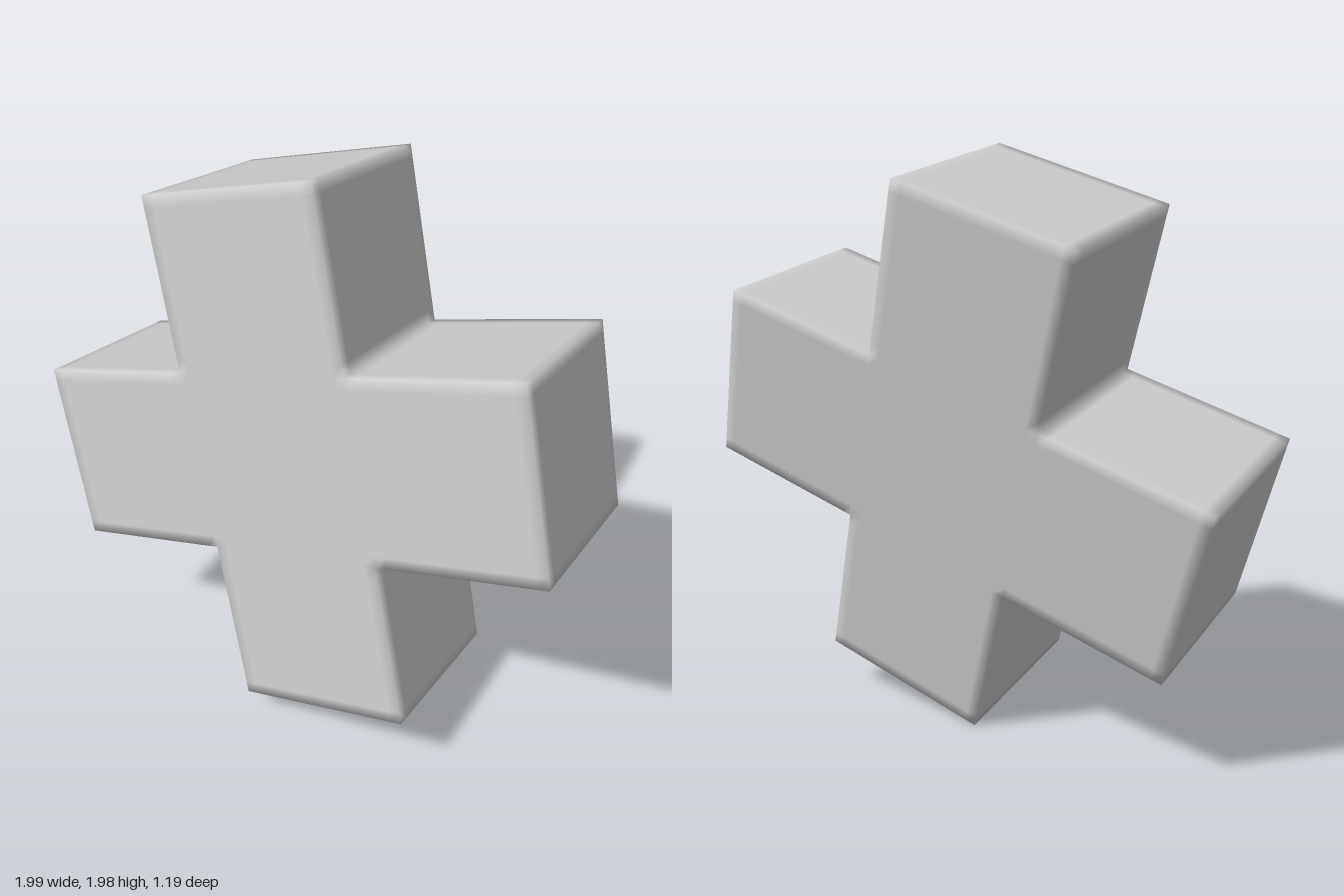
import * as THREE from 'three';
import { mergeVertices } from 'three/addons/utils/BufferGeometryUtils.js';

const LENGTH = 0.902; // half span of the arms
const WIDTH = 0.317;  // half width of an arm
const DEPTH = 0.3;    // half thickness
const EDGE = 0.04;    // width of the softly shaded band along the edges

// Grid lines along an axis, with a support line beside every edge
const mirror = (list) => [...list.map((v) => -v), ...list].sort((a, b) => a - b);
const across = mirror([WIDTH - EDGE, WIDTH, WIDTH + EDGE, LENGTH - EDGE, LENGTH]);
const through = mirror([DEPTH - EDGE, DEPTH]);

// Closed cross skin: one quad for each grid cell side that borders empty space
function crossGeometry() {
  const cuts = [across, across, through];
  const mid = (a, i) => (cuts[a][i] + cuts[a][i + 1]) / 2;
  const filled = (c) => c.every((i, a) => i >= 0 && i < cuts[a].length - 1)
    && (Math.abs(mid(0, c[0])) < WIDTH || Math.abs(mid(1, c[1])) < WIDTH);
  const positions = [];

  for (let i = 0; i < across.length - 1; i++)
    for (let j = 0; j < across.length - 1; j++)
      for (let k = 0; k < through.length - 1; k++) {
        const cell = [i, j, k];
        if (!filled(cell)) continue;
        for (let a = 0; a < 3; a++)
          for (const side of [0, 1]) {
            const next = [...cell];
            next[a] += side ? 1 : -1;
            if (filled(next)) continue;
            const b = (a + 1) % 3, c = (a + 2) % 3;
            const corner = (s, t) => {
              const p = [...cell];
              p[a] += side; p[b] += s; p[c] += t;
              return p.map((index, axis) => cuts[axis][index]);
            };
            const q = [corner(0, 0), corner(1, 0), corner(1, 1), corner(0, 1)];
            if (!side) q.reverse();
            for (const n of [0, 1, 2, 0, 2, 3]) positions.push(...q[n]);
          }
      }

  const geometry = new THREE.BufferGeometry();
  geometry.setAttribute('position', new THREE.Float32BufferAttribute(positions, 3));
  return mergeVertices(geometry);
}

export function createModel() {
  const group = new THREE.Group();
  group.name = 'tiltedCross';

  // Tilt: directions of the side arms, the upright arms and the thickness
  const u = new THREE.Vector3(0.921, 0.283, 0.268).normalize();
  const v = new THREE.Vector3(-0.23, 0.944, -0.238);
  const n = new THREE.Vector3().crossVectors(u, v).normalize();
  v.crossVectors(n, u);

  const geometry = crossGeometry();
  geometry.applyMatrix4(new THREE.Matrix4().makeBasis(u, v, n));
  geometry.computeVertexNormals();
  geometry.computeBoundingBox();
  geometry.translate(0, -geometry.boundingBox.min.y, 0);

  const cross = new THREE.Mesh(geometry, new THREE.MeshStandardMaterial({ color: 0xcccccc }));
  cross.name = 'cross';
  group.add(cross);
  return group;
}
